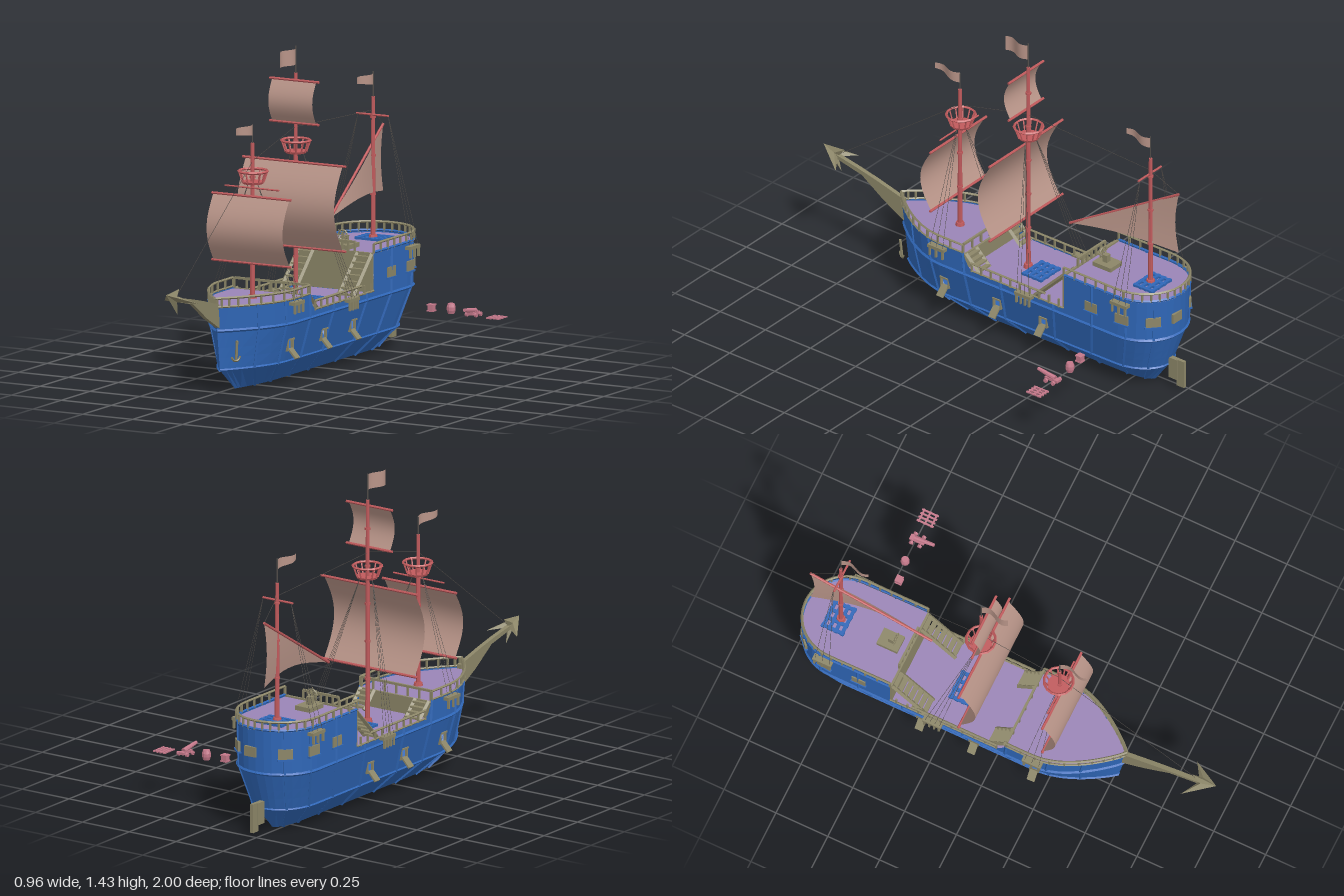
import * as THREE from 'three';

const CX = -0.225; // centre line of the ship
const mat = (color, extra = {}) => new THREE.MeshStandardMaterial({ color, side: THREE.DoubleSide, ...extra });
const BLUE = mat(0x2f67b8, { flatShading: true }), DECK = mat(0x9a84b6, { flatShading: true });
const WOOD = mat(0x8c8668, { flatShading: true }), RED = mat(0xc05a5c, { flatShading: true });
const CLOTH = mat(0xb89488), PINK = mat(0xc4788a, { flatShading: true }), ROPE = mat(0x55504c);
const V = (x, y, z) => new THREE.Vector3(x, y, z);

export function createModel() {
  const root = new THREE.Group();
  const add = (name, geo, m, x = 0, y = 0, z = 0) => {
    const mesh = new THREE.Mesh(geo, m);
    mesh.name = name;
    mesh.position.set(x, y, z);
    root.add(mesh);
    return mesh;
  };
  const box = (name, m, w, h, d, x, y, z) => add(name, new THREE.BoxGeometry(w, h, d), m, x, y, z);
  const rod = (name, m, a, b, r, r2 = r, n = 6) => {
    const mesh = add(name, new THREE.CylinderGeometry(r2, r, a.distanceTo(b), n), m);
    mesh.position.copy(a).lerp(b, 0.5);
    mesh.quaternion.setFromUnitVectors(V(0, 1, 0), b.clone().sub(a).normalize());
    return mesh;
  };
  const tube = (name, m, pts, r) =>
    add(name, new THREE.TubeGeometry(new THREE.CatmullRomCurve3(pts, false, 'centripetal'), pts.length * 3, r, 4), m);
  const quads = (list) => {
    const p = [];
    list.forEach(([a, b, c, d]) => [a, b, c, a, c, d].forEach((v) => p.push(v.x, v.y, v.z)));
    const g = new THREE.BufferGeometry();
    g.setAttribute('position', new THREE.Float32BufferAttribute(p, 3));
    g.computeVertexNormals();
    return g;
  };
  // curved sheet from fn(u, v)
  const sheet = (name, m, fn, nu, nv) => {
    const g = new THREE.PlaneGeometry(1, 1, nu, nv), p = g.attributes.position;
    for (let i = 0; i < p.count; i++) {
      const q = fn(p.getX(i) + 0.5, p.getY(i) + 0.5);
      p.setXYZ(i, q.x, q.y, q.z);
    }
    g.computeVertexNormals();
    return add(name, g, m);
  };

  // Hull: levels of [y, half width, bow z, stern z]; s runs from bow to stern
  const levels = [[0, 0.045, 0.4, -0.84], [0.1, 0.14, 0.53, -0.91], [0.28, 0.19, 0.555, -0.97], [0.39, 0.192, 0.57, -0.977]];
  const levelAt = (y) => {
    let i = 0;
    while (i < 2 && y > levels[i + 1][0]) i++;
    const t = Math.min(1, (y - levels[i][0]) / (levels[i + 1][0] - levels[i][0]));
    return levels[i].map((v, k) => v + (levels[i + 1][k] - v) * t);
  };
  const plan = (s) => s < 0.24 ? Math.pow(Math.sin(Math.PI / 2 * s / 0.24), 0.9)
    : s > 0.874 ? Math.sqrt(Math.max(0, 1 - ((s - 0.874) / 0.126) ** 2)) : 1;
  const side = (s, y, m, out = 0) => {
    const [, w, b, e] = levelAt(y);
    return V(CX + m * plan(s) * (w + out), y, b + (e - b) * s + out * (s > 0.9 ? -plan(1.874 - s) * (s - 0.9) * 10 : 0));
  };
  const sAt = (z, y) => { const [, , b, e] = levelAt(y); return (b - z) / (b - e); };
  const top = (s) => s >= 0.68 ? 0.48 : s < 0.317 ? 0.385 : s > 0.345 ? 0.31 : 0.385 - 0.075 * Math.sin((s - 0.317) / 0.028 * Math.PI / 2);
  const portZ = [0.2, -0.09, -0.345], ports = portZ.map((z) => sAt(z, 0.178));
  const S = [0, 0.015, 0.03, 0.06, 0.1, 0.15, 0.19, 0.317, 0.323, 0.333, 0.3451, 0.5, 0.6799, 0.68, 0.78, 0.874, 0.9, 0.93, 0.955,
    0.975, 0.99, 0.997, 1, ...ports.flatMap((s) => [s - 0.012, s + 0.012])].sort((a, b) => a - b);
  const skin = [];
  for (const m of [-1, 1]) for (let i = 0; i < S.length - 1; i++) {
    const a = S[i], b = S[i + 1], rows = (s) => [0, 0.1, 0.155, 0.2, 0.28, top(s)];
    const ra = rows(a), rb = rows(b), isPort = ports.some((p) => Math.abs((a + b) / 2 - p) < 0.001);
    for (let j = 0; j < 5; j++) if (!(isPort && j === 2)) {
      const q = [side(a, ra[j], m), side(b, rb[j], m), side(b, rb[j + 1], m), side(a, ra[j + 1], m)];
      skin.push(m > 0 ? q : q.reverse());
    }
  }
  add('hull', quads(skin), BLUE);
  const floor = (name, m, s0, s1, y) => {
    const st = S.filter((s) => s >= s0 && s <= s1);
    add(name, quads(st.slice(1).map((b, i) => [side(st[i], y, -1), side(st[i], y, 1), side(b, y, 1), side(b, y, -1)])), m);
  };
  floor('hullBottom', BLUE, 0, 1, 0);
  floor('foreDeck', DECK, 0, 0.323, 0.375);
  floor('mainDeck', DECK, 0.317, 0.68, 0.3);
  floor('poopDeck', DECK, 0.68, 1, 0.47);
  box('poopBulkhead', WOOD, 0.378, 0.175, 0.01, CX, 0.39, -0.478);
  box('foreBulkhead', WOOD, 0.378, 0.08, 0.01, CX, 0.338, 0.072);

  // Hull bands, ribs, rails and fittings on both sides
  const along = (name, m, s0, s1, y, mir, r) =>
    tube(name, m, S.filter((s) => s >= s0 && s <= s1).map((s) => side(s, typeof y === 'function' ? y(s) : y, mir)), r);
  // box lying against the hull side
  const onSide = (name, m, s, y, mir, w, h, d, out = 0) => {
    const t = side(Math.min(1, s + 0.004), y, mir).sub(side(s - 0.004, y, mir));
    const n = V(-t.z * mir, 0, t.x * mir).normalize(), p = side(s, y, mir).addScaledVector(n, out);
    const b = box(name, m, w, h, d, p.x, p.y, p.z);
    b.rotation.y = Math.atan2(n.x, n.z);
    return b;
  };
  const rail = (s0, s1, y0, y1, count, m) => {
    along('railTop', WOOD, s0, s1, y1, m, 0.006);
    for (let i = 0; i <= count; i++) {
      let s = s0 + (s1 - s0) * i / count;
      if (s1 === 1) s = s0 + (s1 - s0) * Math.sin(i / count * Math.PI / 2);
      if (s0 === 0) s = s1 * (1 - Math.cos(i / count * Math.PI / 2));
      const p = side(s, y0, m);
      box('railPost', WOOD, 0.008, y1 - y0, 0.008, p.x, (y0 + y1) / 2, p.z);
    }
  };
  for (const m of [-1, 1]) {
    along('upperBand', BLUE, 0, 1, 0.277, m, 0.008);
    along('lowerBand', BLUE, 0, 1, 0.1, m, 0.007);
    along('foreGunwale', WOOD, 0, 0.317, 0.385, m, 0.005);
    along('waistGunwale', WOOD, 0.345, 0.6799, 0.31, m, 0.005);
    along('poopGunwale', BLUE, 0.68, 1, 0.48, m, 0.006);
    for (const s of [0.1, 0.19, 0.317, 0.45, 0.64, 0.78, 0.9, 0.97])
      [0, 0.1, 0.28, top(s)].forEach((y, i, a) => i && rod('rib', BLUE, side(s, a[i - 1], m), side(s, y, m), 0.007, 0.007, 4));
    rail(0, 0.317, 0.38, 0.423, 11, m);
    rail(0.345, 0.66, 0.305, 0.347, 9, m);
    rail(0.68, 1, 0.475, 0.517, 13, m);
    // gun ports with hanging lids
    for (const s of ports) {
      const lid = onSide('portLid', WOOD, s, 0.14, m, 0.036, 0.055, 0.008, 0.03);
      lid.rotateX(-0.75);
      for (const y of [0.153, 0.202]) onSide('portFrame', WOOD, s, y, m, 0.044, 0.007, 0.012);
      for (const k of [-1, 1]) onSide('portFrame', WOOD, s + k * 0.0135, 0.178, m, 0.006, 0.05, 0.012);
    }
    for (const s of [0.777, 0.886, 0.968]) {
      onSide('window', WOOD, s, 0.372, m, 0.066, 0.045, 0.01);
      onSide('windowSill', BLUE, s, 0.346, m, 0.075, 0.008, 0.02);
    }
    // shroud ledges and shrouds
    for (const [z, y, mz, my, mx, n] of [[0.21, 0.368, 0.243, 0.89, 0.02, 3], [-0.27, 0.306, -0.14, 0.965, 0.03, 4], [-0.8, 0.455, -0.81, 1.02, 0.075, 3]]) {
      box('shroudLedge', WOOD, 0.03, 0.015, 0.09, CX + m * 0.203, y, z);
      for (let i = 0; i < n; i++) {
        const foot = V(CX + m * 0.212, y, z + 0.035 - 0.07 * i / (n - 1));
        rod('shroud', ROPE, foot, V(CX + m * mx, my, mz), 0.001, 0.001, 3);
        box('deadeye', WOOD, 0.01, 0.05, 0.008, foot.x, y - 0.02, foot.z);
      }
    }
    // stairs to both raised decks
    for (const [n, z0, dz, y0, dy] of [[7, -0.32, -0.024, 0.315, 0.024], [4, 0, 0.019, 0.315, 0.018]]) {
      for (let i = 0; i < n; i++) box('stairStep', WOOD, 0.07, 0.008, 0.022, CX + m * 0.145, y0 + dy * i, z0 + dz * i);
      for (const k of [-1, 1]) rod('stairStringer', WOOD, V(CX + m * 0.145 + k * 0.036, y0 - 0.01, z0 - dz * 0.4),
        V(CX + m * 0.145 + k * 0.036, y0 + dy * (n - 0.5), z0 + dz * (n - 0.5)), 0.01, 0.01, 4);
    }
  }
  onSide('sternWindow', WOOD, 0.999, 0.372, 1, 0.06, 0.045, 0.012).rotation.y = 0;
  for (const [z, y, w] of [[0.08, 0.423, 0.37], [-0.483, 0.517, 0.19]]) {
    box('crossRail', WOOD, w, 0.01, 0.01, CX, y, z);
    for (let i = 0; i < 7; i++) box('crossRailPost', WOOD, 0.008, 0.042, 0.008, CX + (i / 6 - 0.5) * w, y - 0.023, z);
  }
  box('rudder', WOOD, 0.016, 0.13, 0.04, CX, 0.077, -0.98);
  box('rudderPost', WOOD, 0.022, 0.1, 0.05, CX, 0.09, -0.943);

  // Anchor
  rod('anchorShank', WOOD, V(-0.155, 0.15, 0.51), V(-0.148, 0.235, 0.515), 0.006);
  const fluke = add('anchorFluke', new THREE.TorusGeometry(0.02, 0.005, 4, 8, Math.PI), WOOD, -0.155, 0.165, 0.512);
  fluke.rotation.set(0, Math.PI / 3, Math.PI);

  // Bowsprit and its barbed head
  const sprit = new THREE.Shape([[0.55, 0.29], [0.66, 0.35], [0.78, 0.432], [0.94, 0.468], [0.94, 0.485], [0.8, 0.458], [0.7, 0.435], [0.55, 0.395]]
    .map(([z, y]) => new THREE.Vector2(-z, y)));
  const sg = new THREE.ExtrudeGeometry(sprit, { depth: 0.02, bevelEnabled: false });
  add('bowsprit', sg.translate(0, 0, -0.01).rotateY(Math.PI / 2), WOOD, CX);
  const barbs = [];
  const tip = V(CX, 0.506, 1), notch = V(CX, 0.472, 0.92);
  const ring = [[0.083, 0.455, 0.868], [0.015, 0.492, 0.93], [0, 0.516, 0.885], [-0.015, 0.492, 0.93], [-0.083, 0.455, 0.868],
    [-0.015, 0.465, 0.93], [0, 0.402, 0.9], [0.015, 0.465, 0.93]].map(([x, y, z]) => V(CX + x, y, z));
  ring.forEach((a, i) => { const b = ring[(i + 1) % 8]; barbs.push([tip, a, b, tip], [notch, b, a, notch]); });
  add('bowspritHead', quads(barbs), WOOD);

  // Masts, crow's nests
  const masts = [[0.245, 0.37, 1.06, 1.14], [-0.133, 0.3, 1.31, 1.43], [-0.81, 0.47, 1.1, 1.21]];
  for (const [z, y0, y1, y2] of masts) {
    rod('mast', RED, V(CX, y0, z), V(CX, y1, z), 0.011, 0.008, 8);
    rod('flagPole', ROPE, V(CX, y1, z), V(CX, y2, z), 0.003);
    add('mastCollar', new THREE.CylinderGeometry(0.018, 0.022, 0.02, 8), RED, CX, y0 + 0.01, z);
    for (let y = y0 + 0.2; y < y1; y += 0.17) add('mastBand', new THREE.CylinderGeometry(0.013, 0.013, 0.01, 8), RED, CX, y, z);
  }
  for (const [z, y] of [[0.24, 0.885], [-0.135, 0.962]]) {
    add('nestFloor', new THREE.CylinderGeometry(0.05, 0.045, 0.01, 14), RED, CX, y, z);
    add('nestRim', new THREE.TorusGeometry(0.064, 0.006, 4, 14), RED, CX, y + 0.05, z).rotation.x = Math.PI / 2;
    for (let i = 0; i < 12; i++) {
      const c = Math.cos(i * Math.PI / 6), s = Math.sin(i * Math.PI / 6);
      rod('nestPost', RED, V(CX + c * 0.046, y, z + s * 0.046), V(CX + c * 0.063, y + 0.05, z + s * 0.063), 0.004, 0.004, 4);
    }
  }

  // Square sails, bulging forward between two yards
  const yard = (y, z, h, r = 0.006) => rod('yard', RED, V(CX - h, y, z), V(CX + h, y, z), r);
  for (const [z, y0, y1, h, yh, bulge] of [[0.255, 0.53, 0.825, 0.19, 0.198, 0.06], [-0.12, 0.545, 0.92, 0.242, 0.258, 0.075], [-0.12, 1.092, 1.28, 0.11, 0.123, 0.035]]) {
    yard(y0, z, yh);
    yard(y1, z, yh);
    sheet('squareSail', CLOTH, (u, v) => V(CX + (u * 2 - 1) * h, y0 + (y1 - y0) * v, z + bulge * Math.sin(Math.PI * v)), 2, 14);
  }
  yard(0.862, 0.25, 0.135, 0.004);
  yard(1.02, -0.805, 0.08, 0.005);

  // Slanted yard with its triangular sail
  const yA = V(-0.197, 0.63, -0.385), yB = V(-0.252, 0.955, -0.945);
  rod('slantedYard', RED, yA, yB, 0.006);
  sheet('lateenSail', CLOTH, (u, v) => {
    const p = yA.clone().lerp(yB, u), foot = 0.63 + 0.03 * u + 0.035 * Math.sin(Math.PI * u);
    p.y = p.y * v + Math.min(p.y, foot) * (1 - v);
    p.x += 0.025 * Math.sin(Math.PI * u) * (1 - v * 0.5);
    p.z += 0.02 * Math.sin(Math.PI * v) * u * u;
    return p;
  }, 14, 8);

  // Flags
  for (const [z, y, len, h0, h1] of [[0.245, 1.118, 0.14, 0.025, 0.014], [-0.133, 1.385, 0.13, 0.035, 0.035], [-0.81, 1.178, 0.135, 0.025, 0.014]])
    sheet('flag', CLOTH, (u, v) => V(CX + 0.012 * Math.sin(u * 6), y + (h0 === h1 ? 0 : 0.01 * u) + (v * 2 - 1) * (h0 + (h1 - h0) * u), z + len * u), 10, 1);

  // Stays between the mast tops
  const stays = [V(CX, 0.48, 0.92), V(CX, 0.98, 0.245), V(CX, 1.072, -0.12), V(CX, 1.04, -0.81), yB];
  stays.slice(1).forEach((b, i) => rod('stay', ROPE, stays[i], b, 0.0012, 0.0012, 3));

  // Deck gratings, capstan platform and steering wheel
  for (const [z, y] of [[-0.205, 0.305], [-0.82, 0.475]]) for (let i = 0; i < 4; i++) {
    box('gratingBar', BLUE, 0.14, 0.012, 0.015, CX, y, z - 0.045 + i * 0.03);
    box('gratingBar', BLUE, 0.015, 0.01, 0.11, CX - 0.06 + i * 0.04, y, z);
  }
  box('wheelPlatform', WOOD, 0.08, 0.02, 0.1, CX, 0.48, -0.57);
  box('wheelStand', WOOD, 0.025, 0.04, 0.025, CX, 0.505, -0.565);
  add('wheelRim', new THREE.TorusGeometry(0.022, 0.004, 4, 12), WOOD, CX, 0.53, -0.545);
  for (let i = 0; i < 4; i++) box('wheelSpoke', WOOD, 0.062, 0.004, 0.004, CX, 0.53, -0.545).rotation.z = i * Math.PI / 4;

  // Loose cargo beside the ship: crate, barrel, cannon, grating
  box('crate', PINK, 0.026, 0.03, 0.026, 0.13, 0.216, -0.7);
  for (const y of [0.203, 0.229]) box('crateFrame', PINK, 0.032, 0.006, 0.032, 0.13, y, -0.7);
  add('barrel', new THREE.LatheGeometry([[0, 0], [0.015, 0], [0.02, 0.015], [0.02, 0.03], [0.015, 0.045], [0, 0.045]]
    .map(([x, y]) => new THREE.Vector2(x, y)), 10), PINK, 0.22, 0.196, -0.715);
  rod('cannonBarrel', PINK, V(0.335, 0.218, -0.725), V(0.335, 0.234, -0.63), 0.012, 0.008, 8);
  box('cannonCarriage', PINK, 0.026, 0.012, 0.07, 0.335, 0.21, -0.71);
  for (const z of [-0.73, -0.69]) {
    rod('cannonAxle', PINK, V(0.305, 0.205, z), V(0.365, 0.205, z), 0.004);
    for (const x of [0.312, 0.358]) rod('cannonWheel', PINK, V(x - 0.005, 0.205, z), V(x + 0.005, 0.205, z), 0.01, 0.01, 8);
  }
  for (let i = 0; i < 4; i++) box('gratingSlat', PINK, 0.008, 0.006, 0.08, 0.42 + i * 0.018, 0.199, -0.715);
  for (const z of [-0.745, -0.715, -0.685]) box('gratingCrossbar', PINK, 0.066, 0.005, 0.008, 0.447, 0.199, z);
  return root;
}
